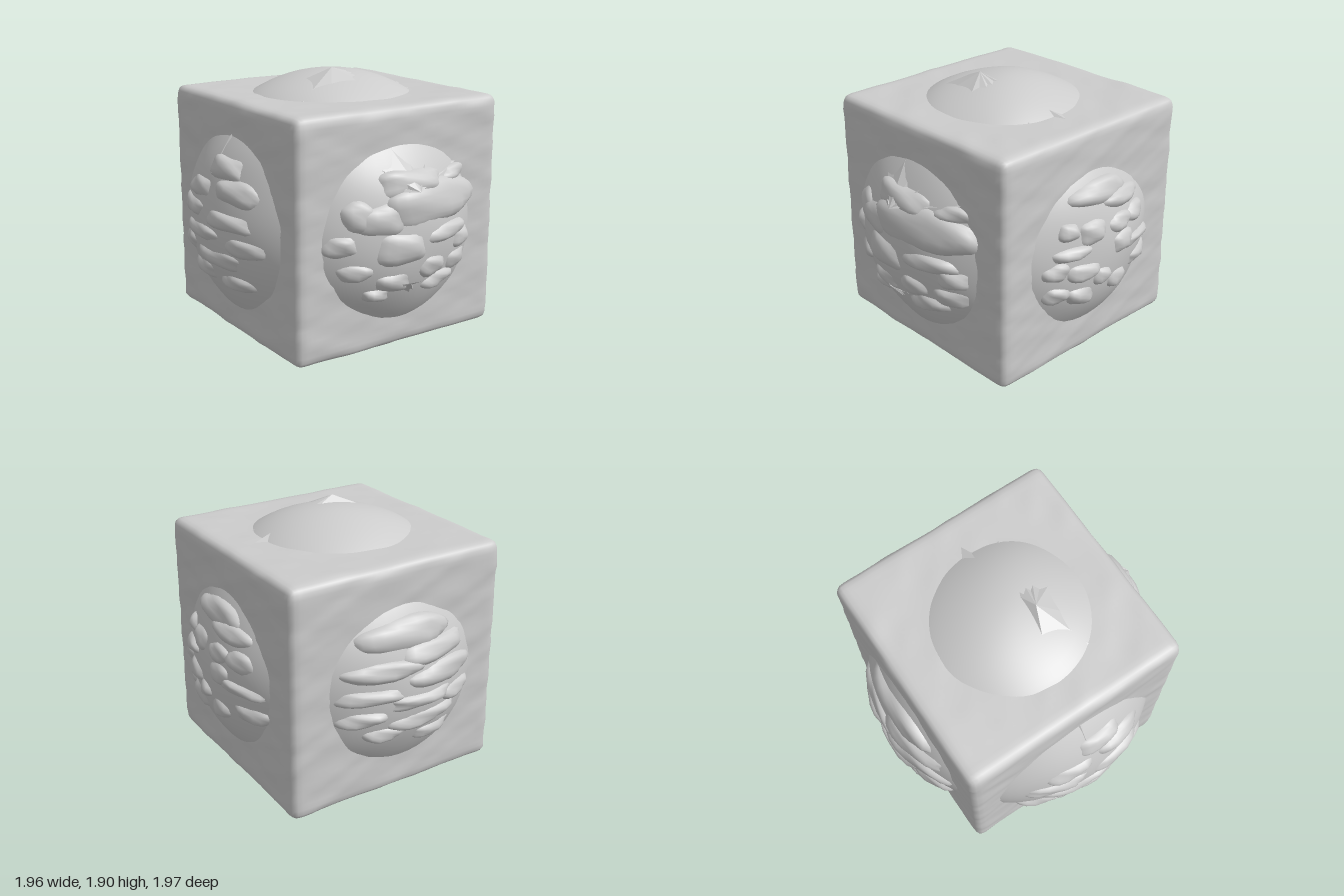
import * as THREE from 'three';
import { mergeVertices } from 'three/addons/utils/BufferGeometryUtils.js';

const CY = 0.95; // height of the boulder's centre

// Smooth repeatable ripple, stretched along the horizontal
function ripple(x, y, z) {
  return (Math.sin(7 * x + 17 * y + 5 * z) + Math.sin(11 * z - 9 * x + 23 * y + 1.7)
    + Math.sin(13 * x - 8 * z + 31 * y + 4.1)) / 3;
}

// Moves every vertex by a rule, then welds for smooth normals
function reshape(geometry, rule) {
  geometry.deleteAttribute('uv');
  geometry.deleteAttribute('normal');
  const g = mergeVertices(geometry, 1e-4);
  const p = g.attributes.position;
  const v = new THREE.Vector3();
  for (let i = 0; i < p.count; i++) {
    rule(v.fromBufferAttribute(p, i));
    p.setXYZ(i, v.x, v.y, v.z);
  }
  g.computeVertexNormals();
  return g;
}

// Cube with worn, rounded edges and a rough-hewn surface
function hewnCube() {
  const h = 0.77, r = 0.06;
  const inner = new THREE.Vector3();
  const limit = new THREE.Vector3(h - r, h - r, h - r);
  return reshape(new THREE.BoxGeometry(2 * h, 2 * h, 2 * h, 44, 44, 44), (v) => {
    inner.copy(v).clamp(limit.clone().negate(), limit);
    const n = v.clone().sub(inner).normalize();
    const rough = 0.004 * ripple(v.x, v.y, v.z) + 0.004 * Math.max(0, ripple(v.z * 2, v.y * 2, v.x * 2));
    v.copy(inner).addScaledVector(n, r + rough);
  });
}

// One flattened, slightly boxy stone, lying on the ball and facing outward
function stone(u, y, w, h, material) {
  const dy = y - CY, d = 0.16;
  const soft = (a) => Math.sign(a) * Math.pow(Math.abs(a), 0.8);
  const g = reshape(new THREE.SphereGeometry(1, 22, 16), (v) => {
    v.set(soft(v.x), soft(v.y), soft(v.z));
    v.multiplyScalar(1 + 0.09 * ripple(v.x * 0.35 + u * 3, v.y * 0.15 + y * 2, v.z * 0.3 + w * 9));
    v.multiply(new THREE.Vector3(w, h, d));
  });
  const mesh = new THREE.Mesh(g, material);
  mesh.name = 'stone';
  const out = new THREE.Vector3(u, dy, Math.sqrt(0.98 ** 2 - u * u - dy * dy));
  mesh.lookAt(out);
  mesh.position.copy(out).multiplyScalar((0.98 - d) / 0.98).add(new THREE.Vector3(0, CY, 0));
  return mesh;
}

// Jagged sheet of rock: flat facets fanned out from a peak
function shardFan(peak, rim, name, material, closed = false) {
  const pos = [];
  const count = closed ? rim.length : rim.length - 1;
  for (let i = 0; i < count; i++) {
    pos.push(...peak, ...rim[i], ...rim[(i + 1) % rim.length]);
  }
  const g = new THREE.BufferGeometry();
  g.setAttribute('position', new THREE.Float32BufferAttribute(pos, 3));
  g.computeVertexNormals();
  const mesh = new THREE.Mesh(g, material);
  mesh.name = name;
  return mesh;
}

// Stones of each side: across, height, half width, half height
const frontStones = [
  [0.2, 1.17, 0.4, 0.16], [-0.25, 1.1, 0.2, 0.12], [-0.4, 1.13, 0.13, 0.12], [0, 1.31, 0.27, 0.11],
  [-0.5, 0.95, 0.14, 0.09], [0.28, 0.95, 0.24, 0.08], [-0.12, 0.9, 0.22, 0.14], [-0.42, 0.77, 0.15, 0.08],
  [0.15, 0.74, 0.14, 0.09], [0.45, 0.87, 0.14, 0.09], [0.42, 0.72, 0.16, 0.09], [0.25, 0.62, 0.19, 0.08],
  [-0.15, 0.68, 0.16, 0.09], [-0.25, 0.6, 0.12, 0.07], [0.42, 1.3, 0.17, 0.07],
];
const plusXStones = [
  [0, 1.37, 0.27, 0.1], [-0.13, 1.14, 0.13, 0.1], [0.2, 1.28, 0.22, 0.08], [0.13, 1.13, 0.14, 0.08],
  [0.33, 1.13, 0.15, 0.09], [-0.3, 1.03, 0.18, 0.06], [-0.4, 0.92, 0.12, 0.08], [-0.2, 0.88, 0.16, 0.08],
  [0.14, 0.99, 0.13, 0.1], [0.34, 0.94, 0.23, 0.06], [0.4, 0.77, 0.18, 0.08], [0.12, 0.72, 0.12, 0.09],
  [-0.05, 0.8, 0.1, 0.08], [-0.38, 0.74, 0.12, 0.08], [-0.2, 0.69, 0.14, 0.1], [-0.3, 1.18, 0.1, 0.08],
];
const backStones = [
  [-0.03, 1.34, 0.34, 0.12], [0.2, 1.2, 0.3, 0.1], [-0.22, 1.13, 0.3, 0.08], [0.25, 1.03, 0.3, 0.1],
  [-0.32, 0.97, 0.26, 0.07], [0.05, 0.89, 0.28, 0.07], [0.38, 0.85, 0.2, 0.08], [-0.36, 0.81, 0.2, 0.07],
  [0.1, 0.74, 0.3, 0.08], [-0.2, 0.68, 0.18, 0.07], [0.2, 0.6, 0.2, 0.07],
];
const minusXStones = [
  [0.1, 1.36, 0.2, 0.1], [-0.15, 1.2, 0.2, 0.09], [0.25, 1.22, 0.22, 0.1], [-0.27, 1.05, 0.25, 0.08],
  [0.22, 1.03, 0.25, 0.08], [-0.1, 0.91, 0.28, 0.07], [0.37, 0.88, 0.2, 0.08], [-0.36, 0.78, 0.2, 0.08],
  [0.1, 0.76, 0.27, 0.08], [-0.15, 0.63, 0.2, 0.08], [0.25, 0.61, 0.18, 0.07],
];

export function createModel() {
  const model = new THREE.Group();
  model.name = 'boulderCube';
  const grey = new THREE.MeshStandardMaterial({ color: 0xcccccc, side: THREE.DoubleSide });
  grey.name = 'stone grey';

  // Cube block
  const cube = new THREE.Mesh(hewnCube(), grey);
  cube.name = 'cubeBlock';
  cube.position.set(0.02, 0.965, -0.015);
  model.add(cube);

  // Smooth boulder showing through all six faces
  const core = new THREE.Mesh(reshape(new THREE.SphereGeometry(1, 72, 48), (v) => {
    v.multiplyScalar(1 + 0.008 * ripple(v.x * 0.6, v.y * 0.3, v.z * 0.6));
    v.multiply(new THREE.Vector3(0.95, 0.925, 0.95));
  }), grey);
  core.name = 'boulderCore';
  core.position.y = CY;
  model.add(core);

  // Layered stones on the four sides, turned a quarter each time
  const sides = [
    ['frontStones', frontStones], ['leftStones', plusXStones],
    ['backStones', backStones], ['rightStones', minusXStones],
  ];
  sides.forEach(([name, list], i) => {
    const group = new THREE.Group();
    group.name = name;
    group.rotation.y = i * Math.PI / 2;
    for (const s of list) group.add(stone(...s, grey));
    model.add(group);
  });

  // Jagged cap on top
  const capRim = [
    [-0.48, -0.03], [-0.42, 0.3], [-0.25, 0.38], [0, 0.44], [0.12, 0.47], [0.2, 0.4], [0.36, 0.36],
    [0.34, 0.28], [0.48, 0.23], [0.44, 0.08], [0.58, 0.01], [0.46, -0.06],
  ].map(([x, z]) => [x, 1.73, z]);
  model.add(shardFan([-0.08, 1.905, 0.13], capRim, 'topShards', grey, true));

  // Splintered sheets above and below the front stones
  const upper = [[-0.42, 1.25], [-0.34, 1.34], [-0.28, 1.33], [-0.27, 1.44], [-0.18, 1.46], [-0.08, 1.5],
    [0.03, 1.47], [0.13, 1.41], [0.21, 1.45], [0.24, 1.37], [0.45, 1.35]].map(([x, y]) => [x, y, 0.75]);
  model.add(shardFan([0, 1.25, 0.96], upper, 'upperFrontShards', grey));
  const lower = [[-0.48, 0.64], [-0.36, 0.53], [-0.22, 0.54], [-0.12, 0.51], [0.06, 0.44], [0.06, 0.49],
    [0.14, 0.46], [0.14, 0.55], [0.4, 0.57]].map(([x, y]) => [x, y, 0.75]);
  model.add(shardFan([-0.05, 0.68, 0.95], lower, 'lowerFrontShards', grey));

  // Splinter over the right stones
  const splinter = [[0.3, 1.38], [0.12, 1.43], [0, 1.54], [-0.08, 1.42], [-0.32, 1.36]]
    .map(([z, y]) => [-0.74, y, z]);
  model.add(shardFan([-0.9, 1.3, 0], splinter, 'rightShards', grey));

  // Small chipped tip underneath
  const tip = new THREE.Mesh(new THREE.ConeGeometry(0.14, 0.06, 5), grey);
  tip.name = 'bottomTip';
  tip.rotation.x = Math.PI;
  tip.position.set(-0.04, 0.03, 0.02);
  model.add(tip);

  return model;
}
